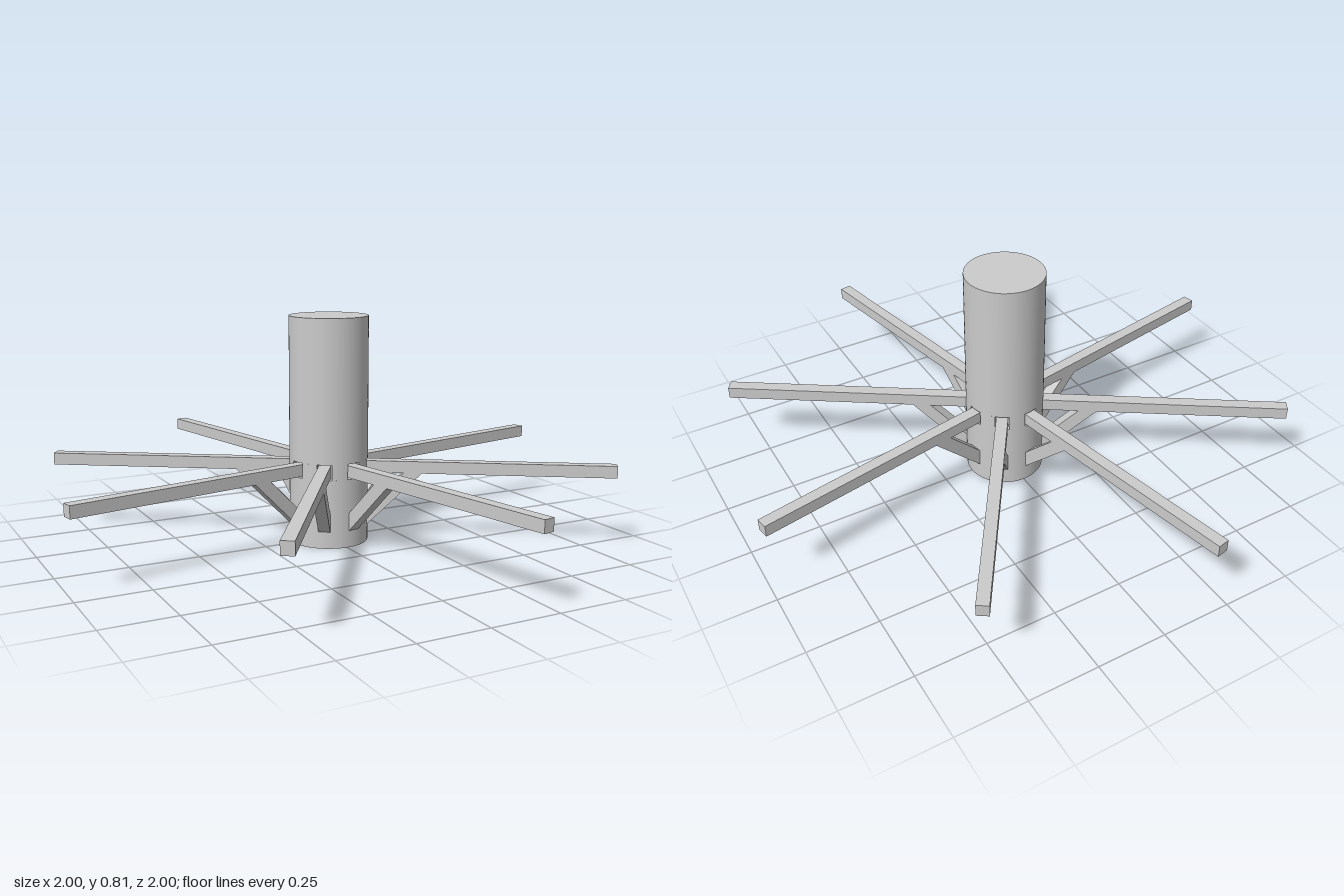
import * as THREE from 'three';
import { toCreasedNormals } from 'three/addons/utils/BufferGeometryUtils.js';

const ARMS = 8;
const STEP = (Math.PI * 2) / ARMS;
const OFFSET = STEP / 4;            // arms are turned 11.25 degrees off the axes
const R = 0.141;                    // post radius
const HEIGHT = 0.81;
const SLOT = { bottom: 0.246, top: 0.301, half: 0.026, inner: 0.11 };
const ARM = { inner: 0.112, outer: 1.0155, bottom: 0.252, top: 0.295, width: 0.042 };

export function createModel() {
  const model = new THREE.Group();
  const material = new THREE.MeshStandardMaterial({ color: 0xcccccc });

  const add = (parent, name, geometry) => {
    const mesh = new THREE.Mesh(geometry, material);
    mesh.name = name;
    parent.add(mesh);
    return mesh;
  };

  // Round post: solid below and above a thin slotted band
  const post = new THREE.Group();
  post.name = 'post';
  model.add(post);
  const section = (name, y0, y1) => {
    add(post, name, new THREE.CylinderGeometry(R, R, y1 - y0, 64)).position.y = (y0 + y1) / 2;
  };
  section('postBase', 0, SLOT.bottom);
  section('postUpper', SLOT.top, HEIGHT);

  // Slotted band: a disc with one notch for each arm
  const outline = [];
  const notchAngle = Math.asin(SLOT.half / R);
  const place = (a, u, v) => outline.push(new THREE.Vector2(
    u * Math.cos(a) - v * Math.sin(a), u * Math.sin(a) + v * Math.cos(a)));
  for (let i = 0; i < ARMS; i++) {
    const a = OFFSET + i * STEP;
    place(a, SLOT.inner, -SLOT.half);
    place(a, SLOT.inner, SLOT.half);
    for (let k = 0; k <= 6; k++) {
      place(a + notchAngle + (k / 6) * (STEP - 2 * notchAngle), R, 0);
    }
  }
  const band = new THREE.ExtrudeGeometry(new THREE.Shape(outline), {
    depth: SLOT.top - SLOT.bottom, bevelEnabled: false,
  });
  band.rotateX(-Math.PI / 2);
  add(post, 'slottedBand', toCreasedNormals(band, 0.5)).position.y = SLOT.bottom;

  // Straight arm bar
  const armLength = ARM.outer - ARM.inner;
  const armGeometry = new THREE.BoxGeometry(armLength, ARM.top - ARM.bottom, ARM.width);
  armGeometry.translate(ARM.inner + armLength / 2, (ARM.top + ARM.bottom) / 2, 0);

  // Diagonal brace, its lower end inside the post and its upper end under the arm
  const braceShape = new THREE.Shape([
    new THREE.Vector2(0.134, 0.06),
    new THREE.Vector2(0.14, 0.06),
    new THREE.Vector2(0.335, ARM.bottom),
    new THREE.Vector2(0.27, ARM.bottom),
    new THREE.Vector2(0.134, 0.119),
  ]);
  const braceGeometry = new THREE.ExtrudeGeometry(braceShape, {
    depth: ARM.width, bevelEnabled: false,
  });
  braceGeometry.translate(0, 0, -ARM.width / 2);

  // Eight braced arms around the post
  for (let i = 0; i < ARMS; i++) {
    const spoke = new THREE.Group();
    spoke.name = `spoke${i + 1}`;
    spoke.rotation.y = OFFSET + i * STEP;
    add(spoke, 'arm', armGeometry);
    add(spoke, 'brace', braceGeometry);
    model.add(spoke);
  }

  return model;
}
